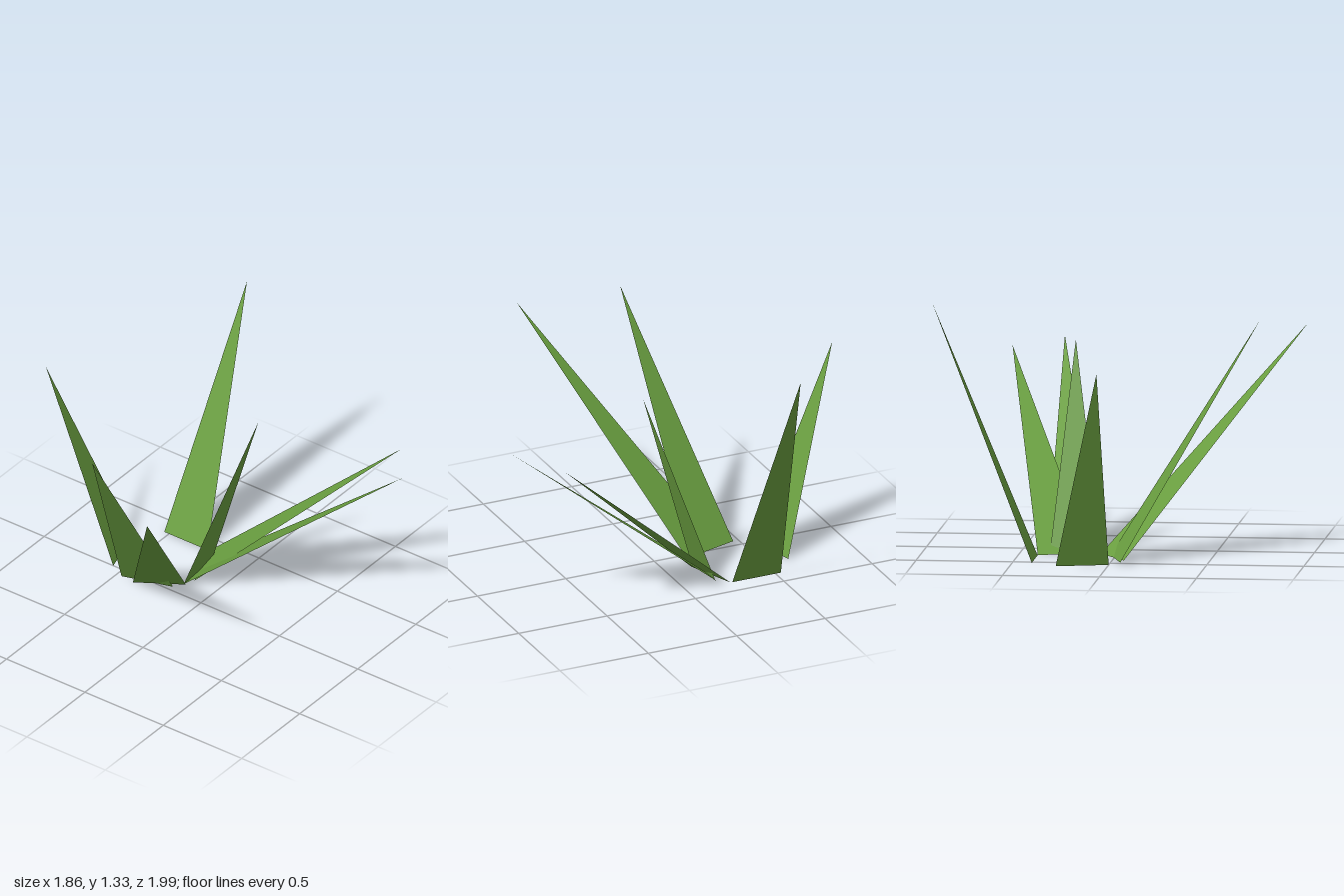
import * as THREE from 'three';

// One flat triangular grass blade: two root corners on the ground and a raised tip
function makeBlade(name, rootA, rootB, tip, material) {
  const geometry = new THREE.BufferGeometry();
  geometry.setAttribute('position', new THREE.Float32BufferAttribute([...rootA, ...rootB, ...tip], 3));
  geometry.computeVertexNormals();
  const mesh = new THREE.Mesh(geometry, material);
  mesh.name = name;
  return mesh;
}

export function createModel() {
  const group = new THREE.Group();
  group.name = 'grassTuft';

  const grassGreen = new THREE.MeshStandardMaterial({ color: 0x6a9f40, side: THREE.DoubleSide });
  grassGreen.name = 'grassGreen';

  // Each blade: name, two roots as [x, z], tip as [x, y, z]
  const blades = [
    ['backBlade', [0, -0.56], [0.265, -0.635], [0.015, 1.05, -1]],
    ['leftBlade', [0.4, -0.255], [0.4, -0.53], [0.93, 1.325, -0.395]],
    ['backRightBlade', [-0.05, -0.47], [0.03, -0.2], [-0.735, 1.22, -0.15]],
    ['frontRightBlade', [-0.06, -0.39], [0.085, -0.16], [-0.93, 1.14, 0.345]],
    ['middleBlade', [0.08, -0.17], [0.345, -0.185], [0.25, 1.06, 0.18]],
    ['frontBlade', [0.085, -0.17], [0.36, -0.19], [0.395, 0.965, 0.99]],
    ['frontLeftBlade', [0.14, -0.145], [0.4, -0.245], [0.645, 0.935, 0.805]],
  ];

  for (const [name, a, b, tip] of blades) {
    group.add(makeBlade(name, [a[0], 0, a[1]], [b[0], 0, b[1]], tip, grassGreen));
  }
  return group;
}
